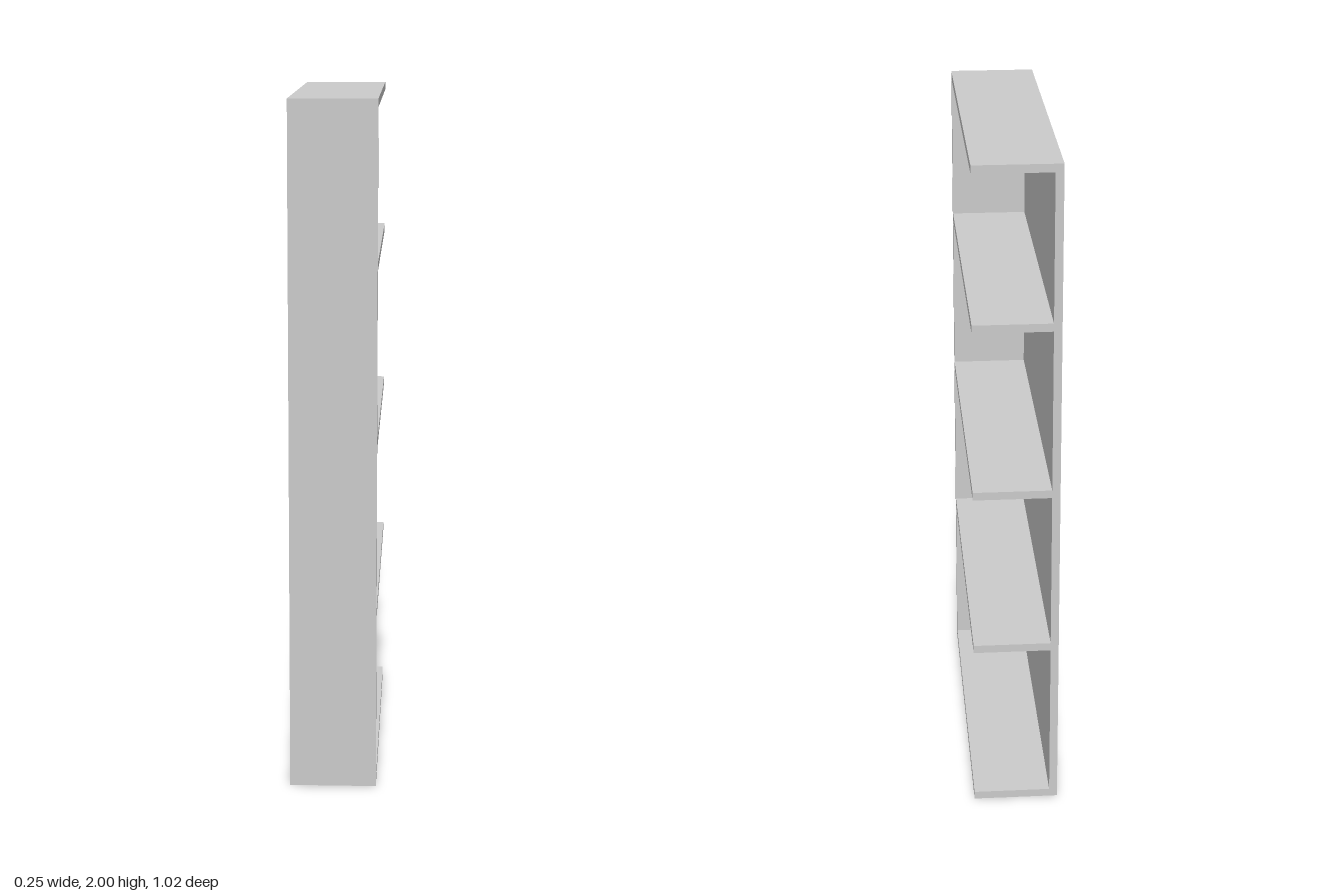
import * as THREE from 'three';

const HEIGHT = 2, DEPTH = 0.252, WIDTH = 1.024, T = 0.024;

export function createModel() {
  const group = new THREE.Group();
  group.name = 'bookshelf';
  const material = new THREE.MeshStandardMaterial({ color: 0xcccccc, flatShading: true });

  const addBoard = (name, size, position) => {
    const mesh = new THREE.Mesh(new THREE.BoxGeometry(...size), material);
    mesh.name = name;
    mesh.position.set(...position);
    group.add(mesh);
  };

  // Tall back board, closing the -x side
  addBoard('backPanel', [T, HEIGHT, WIDTH], [(T - DEPTH) / 2, HEIGHT / 2, 0]);

  // Single upright at the +z end; the other end stays open
  addBoard('sidePanel', [DEPTH - T, HEIGHT, T], [T / 2, HEIGHT / 2, (WIDTH - T) / 2]);

  // Base, three shelves and top, butted against the two panels
  const shelves = { base: T / 2, lowerShelf: 0.522, middleShelf: 1.022, upperShelf: 1.532, top: HEIGHT - T / 2 };
  for (const [name, y] of Object.entries(shelves)) {
    addBoard(name, [DEPTH - T, T, WIDTH - T], [T / 2, y, -T / 2]);
  }

  return group;
}
